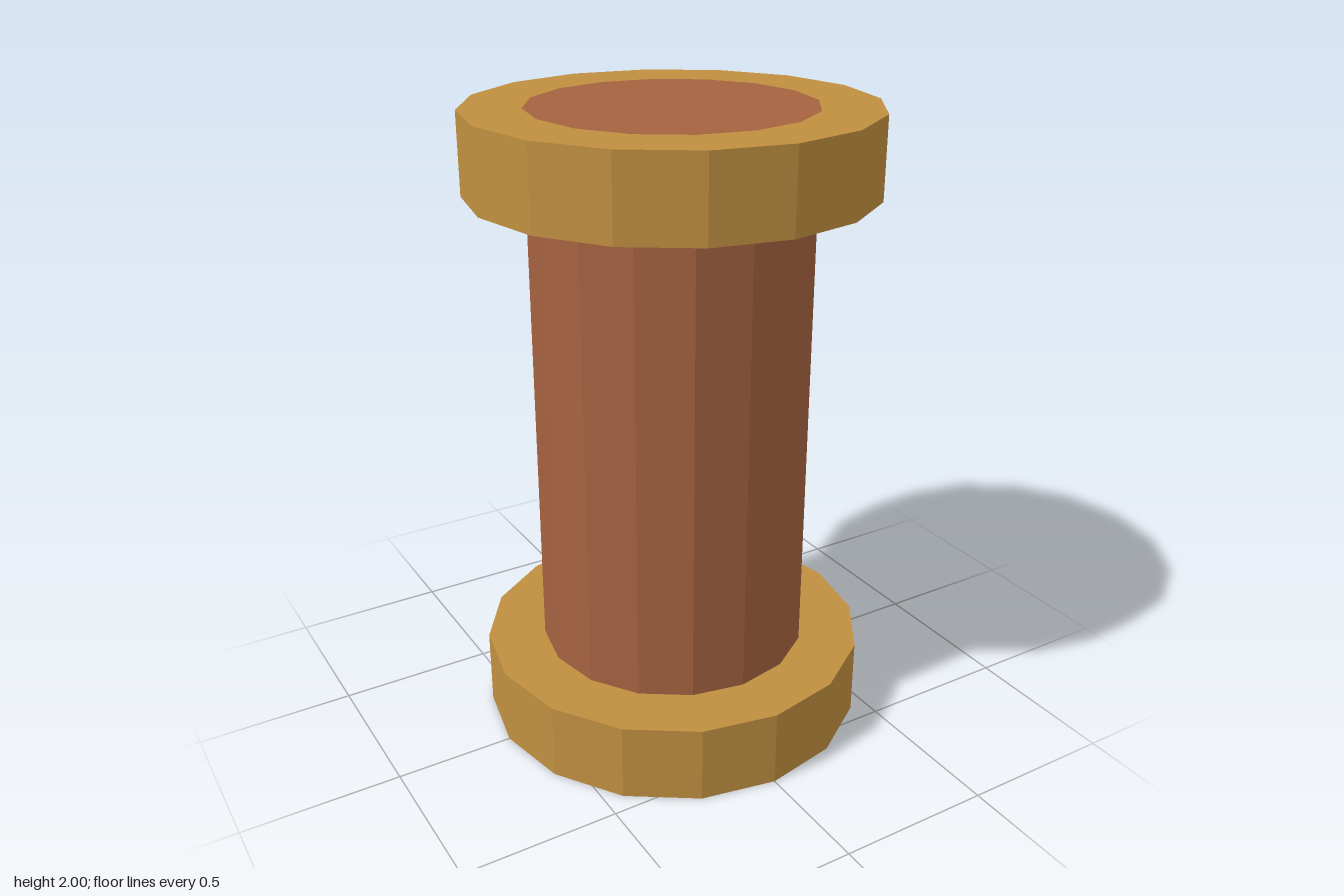
import * as THREE from 'three';

const SIDES = 16;
const CORE_RADIUS = 0.435;
const RIM_RADIUS = 0.623;
const RIM_HEIGHT = 0.25;
const HEIGHT = 2;

export function createModel() {
  const group = new THREE.Group();
  group.name = 'spool';

  const gold = new THREE.MeshStandardMaterial({ color: 0xc08f40 });
  gold.name = 'ochre wood';
  gold.flatShading = true;
  const brown = new THREE.MeshStandardMaterial({ color: 0xa56240 });
  brown.name = 'red brown';
  brown.flatShading = true;

  // Core runs the full height, so its ends sit flush inside the rims
  const core = new THREE.Mesh(
    new THREE.CylinderGeometry(CORE_RADIUS, CORE_RADIUS, HEIGHT, SIDES), brown);
  core.name = 'core';
  core.position.y = HEIGHT / 2;
  group.add(core);

  // Rim rings fit around the core; the inner wall is covered by it
  const profile = [
    [CORE_RADIUS, 0], [RIM_RADIUS, 0], [RIM_RADIUS, RIM_HEIGHT], [CORE_RADIUS, RIM_HEIGHT],
  ].map(([x, y]) => new THREE.Vector2(x, y));
  const rimGeometry = new THREE.LatheGeometry(profile, SIDES);

  for (const [name, y] of [['bottomRim', 0], ['topRim', HEIGHT - RIM_HEIGHT]]) {
    const rim = new THREE.Mesh(rimGeometry, gold);
    rim.name = name;
    rim.position.y = y;
    group.add(rim);
  }
  return group;
}
